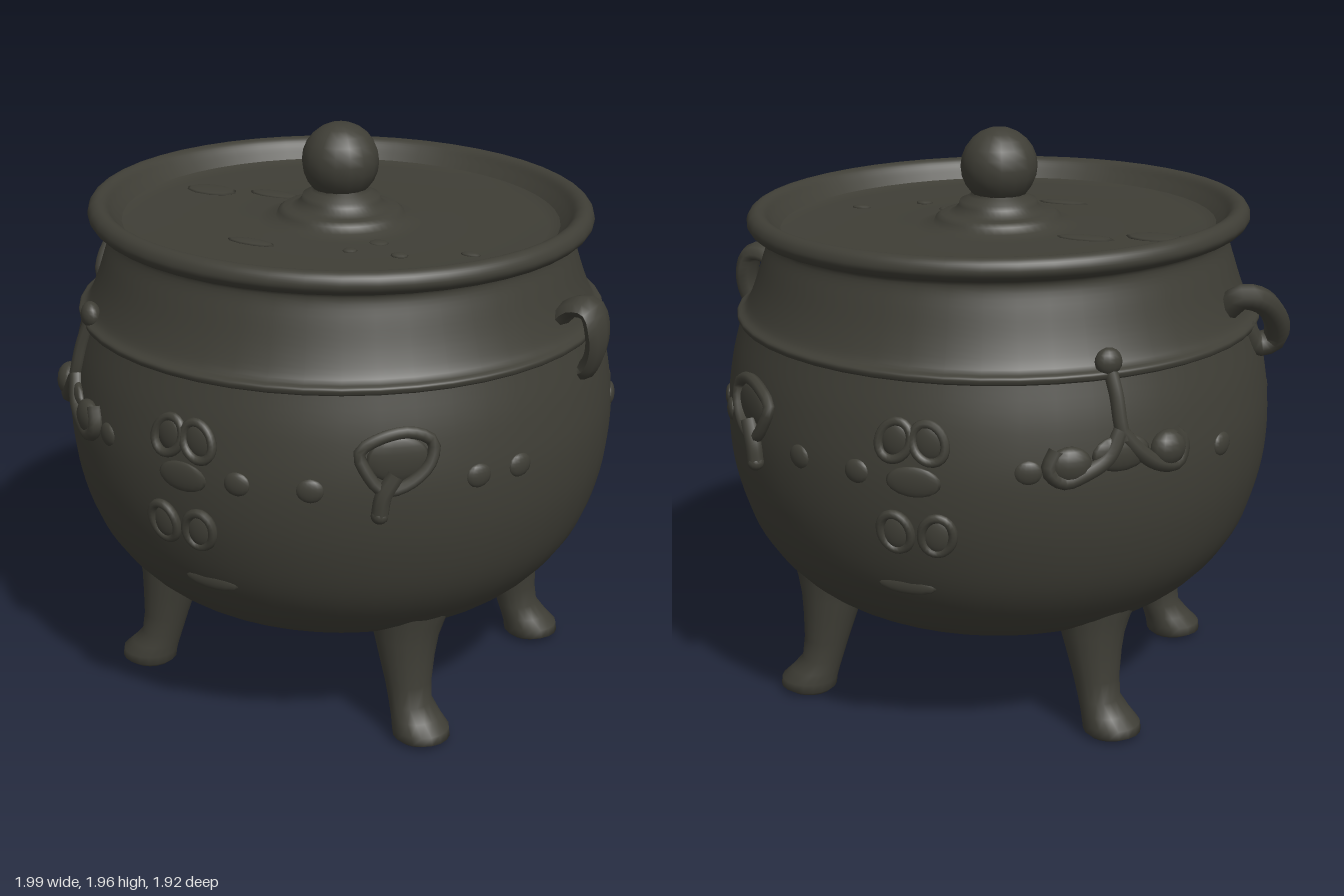
import * as THREE from 'three';

const iron = new THREE.MeshStandardMaterial({ color: 0x3f3e36 });
iron.name = 'dark iron';
const CX = 0.015; // axis of the pot
const V2 = (a) => new THREE.Vector2(a[0], a[1]);
const V3 = (a) => new THREE.Vector3(a[0], a[1], a[2]);

// outer bowl, from the bottom up to the ridge, then the neck and rolled rim
const bowl = new THREE.SplineCurve([[0, 0.25], [0.3, 0.268], [0.53, 0.335], [0.715, 0.44], [0.848, 0.6],
  [0.918, 0.8], [0.938, 1.0], [0.918, 1.18], [0.882, 1.325]].map(V2)).getPoints(40);
const neck = new THREE.SplineCurve([[0.892, 1.33], [0.895, 1.35], [0.865, 1.37], [0.833, 1.44], [0.803, 1.53],
  [0.782, 1.6], [0.793, 1.626], [0.83, 1.635], [0.852, 1.662], [0.845, 1.692], [0.822, 1.707],
  [0.795, 1.7], [0.77, 1.672], [0.74, 1.64]].map(V2)).getPoints(52);
const profile = [...bowl, ...neck];

// radius of the pot wall at height y
function wall(y) {
  for (let i = 1; i < 70; i++) {
    const a = profile[i - 1], b = profile[i];
    if (y <= b.y && b.y > a.y) return a.x + (b.x - a.x) * Math.max(0, (y - a.y) / (b.y - a.y));
  }
  return 0.79;
}

// point lying on the wall, u along the wall from angle t, mirrored to the back when side is -1
function onWall(t, u, y, out, side) {
  const a = t + u / 0.93, r = wall(y) + out;
  return new THREE.Vector3(CX + Math.sin(a) * r, y, side * Math.cos(a) * r);
}

function mesh(name, geometry, parent) {
  const m = new THREE.Mesh(geometry, iron);
  m.name = name;
  parent.add(m);
  return m;
}

function tube(name, pts, r, parent, closed = false) {
  const curve = new THREE.CatmullRomCurve3(pts, closed);
  return mesh(name, new THREE.TubeGeometry(curve, closed ? 24 : 20, r, 8, closed), parent);
}

function bead(name, p, size, parent) {
  const m = mesh(name, new THREE.SphereGeometry(1, 14, 10), parent);
  m.position.copy(p);
  m.scale.set(...size);
  m.rotation.y = Math.atan2(p.x - CX, p.z);
  return m;
}

// tilts the rim slightly towards +x
function tilt(geometry) {
  const p = geometry.attributes.position;
  for (let i = 0; i < p.count; i++) {
    if (p.getY(i) > 1.55) p.setY(i, p.getY(i) - 0.014 * p.getX(i) * Math.min(1, (p.getY(i) - 1.55) / 0.08));
  }
  return geometry;
}

// stack of elliptical rings [x, y, z, rx, rz] from bottom to top
function loft(rings, n = 18) {
  const pos = [], index = [];
  rings.forEach(([x, y, z, rx, rz], k) => {
    for (let i = 0; i < n; i++) {
      const a = (i / n) * Math.PI * 2;
      pos.push(x + rx * Math.cos(a), y, z + rz * Math.sin(a));
      if (k === rings.length - 1) continue;
      const p = k * n + i, q = k * n + (i + 1) % n;
      index.push(p, p + n, q, q, p + n, q + n);
    }
  });
  const g = new THREE.BufferGeometry();
  g.setAttribute('position', new THREE.Float32BufferAttribute(pos, 3));
  g.setIndex(index);
  g.computeVertexNormals();
  return g;
}

function leg(sx, sz, parent) {
  const rows = [[0.55, 0, 0.435, 0.002, 0.002], [0.55, 0.005, 0.435, 0.075, 0.075], [0.556, 0.02, 0.435, 0.098, 0.094],
    [0.552, 0.05, 0.435, 0.098, 0.095], [0.53, 0.085, 0.428, 0.084, 0.086], [0.505, 0.13, 0.42, 0.071, 0.08],
    [0.492, 0.2, 0.412, 0.078, 0.083], [0.48, 0.29, 0.403, 0.094, 0.097], [0.472, 0.36, 0.393, 0.11, 0.108],
    [0.468, 0.42, 0.38, 0.13, 0.125], [0.46, 0.46, 0.365, 0.155, 0.145]];
  mesh('leg', loft(rows.map(([x, y, z, a, b]) => [0.022 + sx * x, y, sz * z, a, b])), parent);
}

// group of four cupped ovals
function ovals(side, parent) {
  const g = new THREE.Group();
  g.name = 'ovalOrnament';
  for (const [u, y, lean] of [[-0.085, 1.15, 0.5], [0.025, 1.15, -0.5], [-0.11, 0.85, -0.2], [0.025, 0.85, 0.2]]) {
    const pts = [];
    for (let i = 0; i < 12; i++) {
      const a = (i / 12) * Math.PI * 2, du = 0.05 * Math.cos(a), dv = 0.062 * Math.sin(a);
      pts.push(onWall(0, u + du * Math.cos(lean) + dv * Math.sin(lean), y + dv * Math.cos(lean) - du * Math.sin(lean), 0.012, side));
    }
    tube('ovalRim', pts, 0.015, g, true);
    bead('ovalBowl', onWall(0, u, y, 0.002, side), [0.05, 0.058, 0.018], g);
  }
  bead('middleFold', onWall(0, -0.035, 1.02, -0.004, side), [0.09, 0.05, 0.014], g);
  bead('lowerFold', onWall(0, 0.02, 0.64, -0.008, side), [0.1, 0.03, 0.014], g);
  parent.add(g);
}

// teardrop dish with a hanging tail
function teardrop(side, parent) {
  const g = new THREE.Group(), t = 0.7;
  g.name = 'teardropOrnament';
  const P = ([u, v], o) => onWall(t, u, 1.1 + v, o, side);
  tube('teardropRim', [[-0.11, 0.06], [-0.05, 0.1], [0.05, 0.115], [0.12, 0.08], [0.105, 0.01], [0.03, -0.05],
    [-0.04, -0.06], [-0.09, 0]].map((p) => P(p, 0.016)), 0.02, g, true);
  tube('teardropTail', [[0, -0.01], [-0.04, -0.08], [-0.05, -0.14]].map((p) => P(p, 0.022)), 0.028, g);
  bead('tailTip', P([-0.05, -0.14], 0.022), [0.028, 0.028, 0.028], g);
  bead('teardropBowl', P([0.01, 0.03], 0.002), [0.1, 0.075, 0.02], g);
  parent.add(g);
}

// stem with two curled arms
function anchor(side, parent) {
  const g = new THREE.Group(), t = -0.74;
  g.name = 'anchorOrnament';
  const P = ([u, y], o = 0.008) => onWall(t, u, y, o, side);
  tube('stem', [[0.02, 1.38], [0.005, 1.28], [0, 1.2], [-0.01, 1.14]].map((p) => P(p)), 0.024, g);
  bead('stemTop', P([0.02, 1.38], 0.015), [0.045, 0.045, 0.033], g);
  tube('leftArm', [[0, 1.17], [-0.06, 1.1], [-0.13, 1.05], [-0.2, 1.04], [-0.225, 1.1], [-0.19, 1.14]].map((p) => P(p)), 0.026, g);
  tube('rightArm', [[0, 1.17], [0.05, 1.09], [0.12, 1.05], [0.19, 1.03], [0.235, 1.07], [0.21, 1.13]].map((p) => P(p)), 0.026, g);
  bead('middleBoss', P([0, 1.1], 0), [0.1, 0.06, 0.024], g);
  bead('leftCurl', P([-0.17, 1.09], 0.005), [0.065, 0.06, 0.045], g);
  bead('rightCurl', P([0.17, 1.08], 0.005), [0.07, 0.06, 0.035], g);
  parent.add(g);
}

export function createModel() {
  const model = new THREE.Group();
  model.name = 'cauldron';

  // pot body
  mesh('bowl', new THREE.LatheGeometry(bowl, 48), model).position.x = CX;
  mesh('neckAndRim', tilt(new THREE.LatheGeometry([bowl[40], ...neck], 48)), model).position.x = CX;

  // dished lid with a raised collar, and its ball knob
  const lid = [[0.78, 1.66], [0.74, 1.64], [0.7, 1.628], [0.45, 1.626], [0.28, 1.63], [0.222, 1.638], [0.213, 1.66],
    [0.195, 1.672], [0.17, 1.674], [0.15, 1.682], [0.135, 1.7], [0.13, 1.715], [0.1, 1.728], [0.085, 1.745], [0.09, 1.78], [0, 1.78]];
  mesh('lid', tilt(new THREE.LatheGeometry(lid.map(V2), 48)), model).position.x = CX;
  mesh('knob', new THREE.SphereGeometry(0.131, 16, 12), model).position.set(0.012, 1.83, 0);

  // worn lumps on the lid
  for (const [x, z, a, b] of [[-0.55, -0.06, 0.1, 0.06], [-0.33, -0.13, 0.1, 0.04], [-0.1, 0.39, 0.09, 0.03],
    [0.26, 0.18, 0.035, 0.03], [0.38, 0.26, 0.03, 0.025], [0.22, 0.3, 0.025, 0.025], [0.57, 0.13, 0.035, 0.02]]) {
    const m = mesh('lidLump', new THREE.SphereGeometry(1, 10, 6), model);
    m.position.set(x, 1.628 - 0.014 * x, z);
    m.scale.set(a, 0.009, b);
  }

  // legs and wall ornaments, mirrored front to back
  for (const side of [1, -1]) {
    leg(1, side, model);
    leg(-1, side, model);
    ovals(side, model);
    teardrop(side, model);
    anchor(side, model);
    for (const [t, y] of [[0.17, 1.03], [0.42, 1.03], [1.0, 1.04], [1.17, 1.04], [-0.42, 1.06], [-1.2, 1.04]]) {
      bead('wallStud', onWall(t, 0, y, -0.006, side), [0.045, 0.04, 0.018], model);
    }
  }

  // hooked handle on the right side, twisted
  tube('rightHandle', [[-0.8, 1.42, -0.09], [-0.855, 1.468, -0.1], [-0.915, 1.45, -0.06], [-0.952, 1.36, 0.02],
    [-0.935, 1.29, 0.06], [-0.88, 1.275, 0.04], [-0.84, 1.34, 0]].map(V3), 0.043, model);

  // broad handle on the left side, narrowing downwards
  const left = tube('leftHandle', [[0.82, 1.4, 0], [0.88, 1.46, 0], [0.94, 1.46, 0], [0.965, 1.39, 0],
    [0.958, 1.31, 0], [0.92, 1.245, 0], [0.87, 1.25, 0]].map(V3), 0.032, model);
  const p = left.geometry.attributes.position;
  for (let i = 0; i < p.count; i++) p.setZ(i, p.getZ(i) * (1 + 1.3 * THREE.MathUtils.clamp((p.getY(i) - 1.22) / 0.18, 0, 1)));
  left.geometry.computeVertexNormals();
  return model;
}
